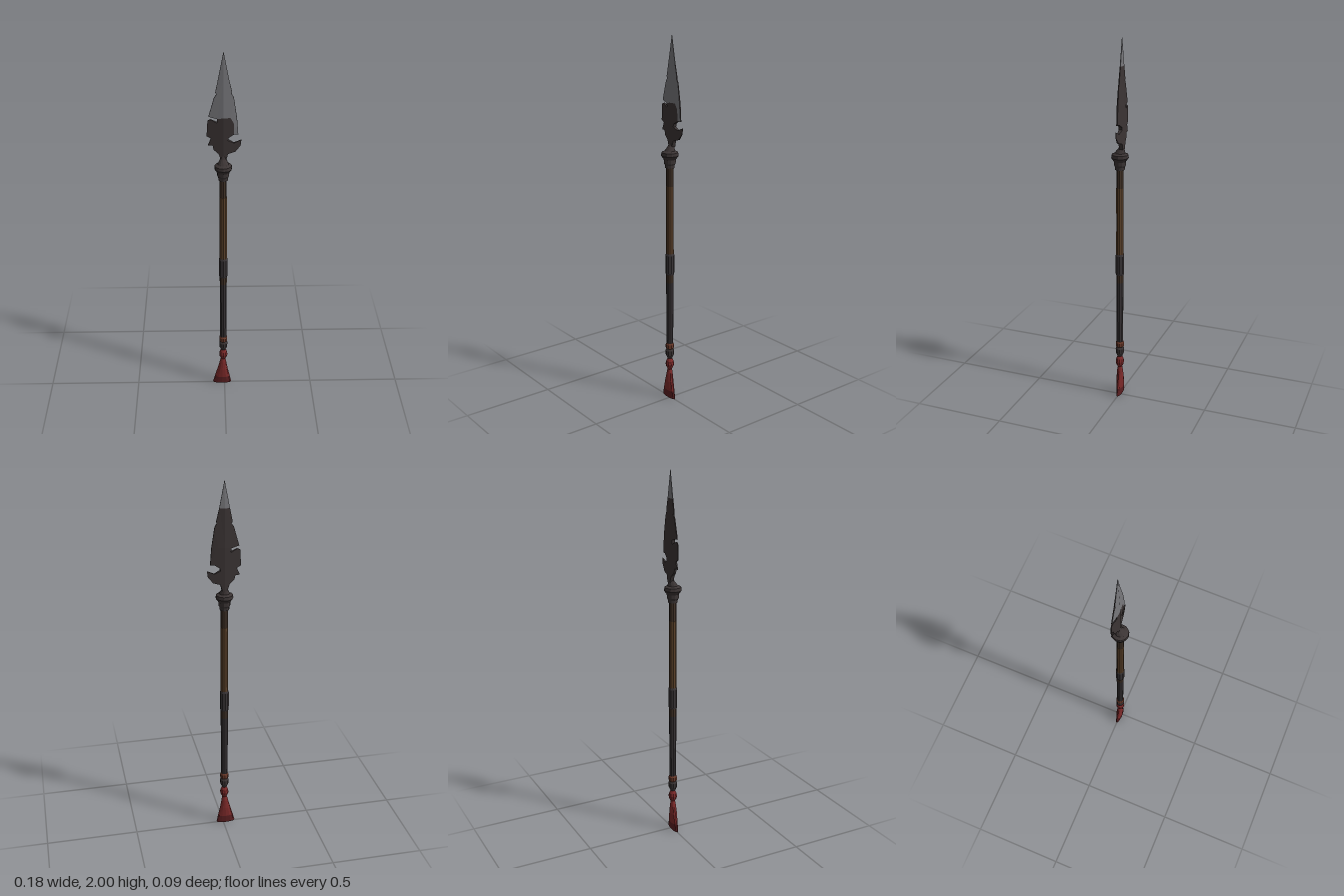
import * as THREE from 'three';

const CX = -0.007; // axis of the shaft
const BX = -0.005, BZ = -0.012; // ridge line of the blade

const paint = (name, color) => {
  const m = new THREE.MeshStandardMaterial({ color });
  m.name = name;
  return m;
};

export function createModel() {
  const steel = paint('steel', 0x77777b);
  const iron = paint('dark iron', 0x3b3434);
  const wood = paint('wood', 0x5f442c);
  const darkWood = paint('dark wood', 0x45352a);
  const grip = paint('grip leather', 0x3a3537);
  const rust = paint('rust brown', 0x6b3a2a);
  const red = paint('red cloth', 0x7d2a2a);
  const darkRed = paint('dark red cloth', 0x5c2022);

  const model = new THREE.Group();
  model.name = 'spear';

  const add = (name, geometry, material, parent = model) => {
    const flat = geometry.index ? geometry.toNonIndexed() : geometry;
    flat.computeVertexNormals();
    const mesh = new THREE.Mesh(flat, material);
    mesh.name = name;
    parent.add(mesh);
  };

  // Faceted turned part; rings run top to bottom as [y, rx, rz = rx, cx, cz]
  const turned = (name, material, rings, sides = 10) => {
    const n = rings.length - 1;
    const g = new THREE.CylinderGeometry(1, 1, 1, sides, n);
    const p = g.attributes.position;
    for (let i = 0; i < p.count; i++) {
      const [y, rx, rz = rx, cx = CX, cz = 0] = rings[Math.round((0.5 - p.getY(i)) * n)];
      p.setXYZ(i, cx + p.getX(i) * rx, y, cz + p.getZ(i) * rz);
    }
    add(name, g, material);
  };

  // Shaft
  turned('upperShaft', darkWood, [[1.34, 0.019], [1.22, 0.019]]);
  turned('woodShaft', wood, [[1.22, 0.02], [1.0, 0.02], [0.84, 0.021]]);
  turned('gripBand', grip, [[0.85, 0.021], [0.84, 0.024], [0.74, 0.024], [0.73, 0.021]]);
  turned('shaftGap', darkWood, [[0.735, 0.02], [0.685, 0.02]]);
  turned('lowerGrip', grip, [[0.685, 0.02], [0.5, 0.019], [0.31, 0.018]]);

  // Collar under the blade
  turned('collar', iron, [
    [1.465, 0.008, 0.008, BX, BZ], [1.435, 0.016, 0.016, CX, -0.008], [1.41, 0.028],
    [1.402, 0.044], [1.385, 0.046], [1.365, 0.032], [1.345, 0.031], [1.335, 0.026], [1.32, 0.025],
  ], 11);

  // Beads and tassel at the butt
  turned('buttRing', rust, [[0.33, 0.019], [0.322, 0.023], [0.302, 0.023], [0.295, 0.018]]);
  turned('darkBead', iron, [[0.3, 0.018], [0.285, 0.024], [0.26, 0.023], [0.238, 0.013]]);
  turned('redBead', red, [[0.24, 0.012], [0.222, 0.02], [0.205, 0.024], [0.19, 0.021], [0.172, 0.011]]);
  turned('tassel', red, [
    [0.18, 0.011, 0.011, -0.008], [0.15, 0.018, 0.016, -0.009],
    [0.1, 0.029, 0.019, -0.011], [0.045, 0.043, 0.017, -0.013],
  ], 12);
  turned('tasselHem', darkRed, [[0.045, 0.043, 0.017, -0.013], [0.005, 0.052, 0.014, -0.014], [0, 0.05, 0.012, -0.014]], 12);

  // Blade: half slabs, thick at the ridge and thinning to the edge
  const blade = new THREE.Group();
  blade.name = 'blade';
  model.add(blade);
  const slab = (name, points, side, face) => {
    const shape = new THREE.Shape(points.map(([x, y]) => new THREE.Vector2(x, y)));
    const g = new THREE.ExtrudeGeometry(shape, { depth: 1, bevelEnabled: false });
    if (side < 0) g.translate(0, 0, -1);
    const p = g.attributes.position;
    for (let i = 0; i < p.count; i++) {
      const x = p.getX(i), y = p.getY(i);
      const width = 0.095 * Math.min(1, (2.01 - y) / 0.36);
      const ridge = 0.013 * Math.min(1, (2.03 - y) / 0.36);
      const half = Math.max(0.0012, ridge * (1 - Math.abs(x - BX) / width));
      p.setZ(i, BZ + p.getZ(i) * half);
    }
    add(name, g, [face, face === steel && points[0][1] === 2 ? steel : iron], blade);
  };

  const pieces = [
    // Point
    ['rightPoint', steel, steel, [[BX, 2], [-0.032, 1.86], [BX, 1.86]]],
    ['leftPoint', steel, steel, [[BX, 2], [0.022, 1.86], [BX, 1.86]]],
    // Ground faces, bright in front only
    ['rightFace', steel, iron, [[BX, 1.86], [-0.032, 1.86], [-0.046, 1.79], [-0.039, 1.783],
      [-0.052, 1.765], [-0.08, 1.665], [-0.038, 1.655], [BX, 1.66]]],
    ['leftFace', steel, iron, [[BX, 1.86], [0.022, 1.86], [0.037, 1.795], [0.035, 1.785], [0.046, 1.765],
      [0.062, 1.66], [0.069, 1.57], [0.048, 1.57], [0.046, 1.63], [0.03, 1.66], [BX, 1.66]]],
    // Jagged base
    ['rightBarb', iron, iron, [[BX, 1.66], [-0.038, 1.655], [-0.037, 1.633], [-0.07, 1.65], [-0.085, 1.643],
      [-0.09, 1.56], [-0.068, 1.548], [-0.084, 1.51], [-0.06, 1.51], [-0.055, 1.487],
      [-0.03, 1.465], [-0.018, 1.43], [BX, 1.43]]],
    ['leftBarb', iron, iron, [[BX, 1.66], [0.03, 1.66], [0.046, 1.63], [0.048, 1.57], [0.02, 1.553],
      [0.018, 1.538], [0.048, 1.523], [0.085, 1.54], [0.081, 1.508], [0.055, 1.475],
      [0.018, 1.465], [0.008, 1.43], [BX, 1.43]]],
  ];
  for (const [name, front, back, points] of pieces) {
    slab(name + 'Front', points, 1, front);
    slab(name + 'Back', points, -1, back);
  }

  return model;
}
